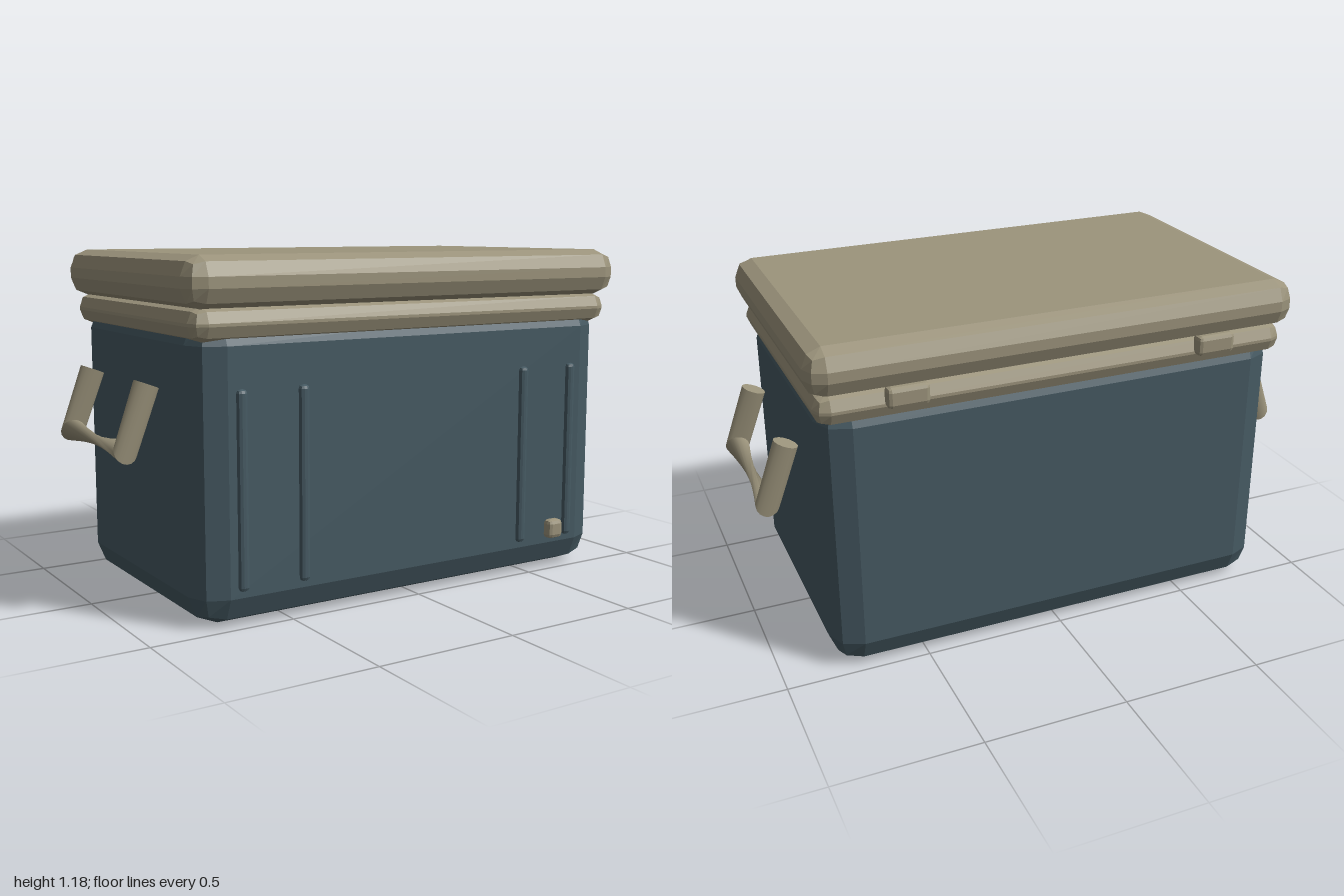
import * as THREE from 'three';
import { RoundedBoxGeometry } from 'three/addons/geometries/RoundedBoxGeometry.js';

export function createModel() {
  const group = new THREE.Group();
  const blue = new THREE.MeshStandardMaterial({ color: 0x465a63 });
  blue.name = 'slate blue shell';
  const tan = new THREE.MeshStandardMaterial({ color: 0x9c947c, side: THREE.DoubleSide });
  tan.name = 'tan trim';

  // Bevelled box given by its extents, with faceted two-step edges
  function block(name, material, [x0, x1], [y0, y1], [z0, z1], radius) {
    const geo = new RoundedBoxGeometry(x1 - x0, y1 - y0, z1 - z0, 1, radius);
    geo.computeVertexNormals();
    const mesh = new THREE.Mesh(geo, material);
    mesh.name = name;
    mesh.position.set((x0 + x1) / 2, (y0 + y1) / 2, (z0 + z1) / 2);
    group.add(mesh);
  }

  // Shell, rim and lid
  block('body', blue, [-0.824, 0.824], [0, 1.0], [-0.495, 0.497], 0.1);
  block('rim', tan, [-0.841, 0.841], [0.912, 1.022], [-0.509, 0.512], 0.05);
  block('lid', tan, [-0.866, 0.866], [1.014, 1.178], [-0.537, 0.537], 0.064);

  // Ribs on the front, hinges on the back
  for (const x of [-0.678, -0.456, 0.453, 0.674]) {
    block('frontRib', blue, [x - 0.018, x + 0.018], [0.122, 0.766], [0.475, 0.513], 0.013);
  }
  for (const x of [-0.55, 0.55]) {
    block('hinge', tan, [x - 0.07, x + 0.07], [0.96, 1.03], [-0.54, -0.49], 0.014);
  }
  block('drainPlug', tan, [0.57, 0.636], [0.12, 0.19], [0.485, 0.53], 0.015);

  // Side handles: two slanted posts joined by a twisted, pinched grip
  const handleGeo = makeHandle();
  for (const side of [0, 1]) {
    const handle = new THREE.Mesh(handleGeo, tan);
    handle.name = side ? 'rightHandle' : 'leftHandle';
    handle.rotation.y = side * Math.PI;
    group.add(handle);
  }
  return group;
}

function makeHandle() {
  const sides = 16, radius = 0.042, twist = THREE.MathUtils.degToRad(152);
  const down = new THREE.Vector3(0.36, -0.93, 0).normalize();
  const out = new THREE.Vector3(0.93, 0.36, 0).normalize();
  const along = new THREE.Vector3(0, 0, -1);
  const mix = (a) => down.clone().multiplyScalar(a).addScaledVector(along, 0.92).normalize();
  // Cross-sections: centre, facing direction and turn about it
  const rings = [
    { c: [0.882, 0.768, 0.238], n: down, turn: 0 },
    { c: [0.959, 0.557, 0.24], n: mix(0.4), turn: 0 },
    { c: [0.959, 0.557, -0.24], n: mix(-0.4), turn: twist },
    { c: [0.882, 0.768, -0.238], n: down.clone().negate(), turn: twist },
  ];
  const pos = [], index = [];
  const addRing = ({ c, n, turn }) => {
    const v = n.clone().cross(out);
    for (let j = 0; j < sides; j++) {
      const a = (j / sides) * Math.PI * 2 + turn;
      const p = new THREE.Vector3(...c)
        .addScaledVector(out, radius * Math.cos(a))
        .addScaledVector(v, radius * Math.sin(a));
      pos.push(p.x, p.y, p.z);
    }
  };
  // Each section has its own pair of rings so the corners stay crisp
  for (let i = 0; i < 3; i++) {
    const base = pos.length / 3;
    addRing(rings[i]);
    addRing(rings[i + 1]);
    for (let j = 0; j < sides; j++) {
      const k = (j + 1) % sides;
      const a = base + j, b = base + k, c = a + sides, d = b + sides;
      index.push(a, b, c, b, d, c);
    }
  }
  // End caps
  for (const [ring, flip] of [[rings[0], true], [rings[3], false]]) {
    const base = pos.length / 3;
    addRing(ring);
    for (let j = 1; j < sides - 1; j++) {
      const p = base + j, q = p + 1;
      index.push(base, flip ? q : p, flip ? p : q);
    }
  }
  const geo = new THREE.BufferGeometry();
  geo.setAttribute('position', new THREE.Float32BufferAttribute(pos, 3));
  geo.setIndex(index);
  geo.computeVertexNormals();
  return geo;
}
